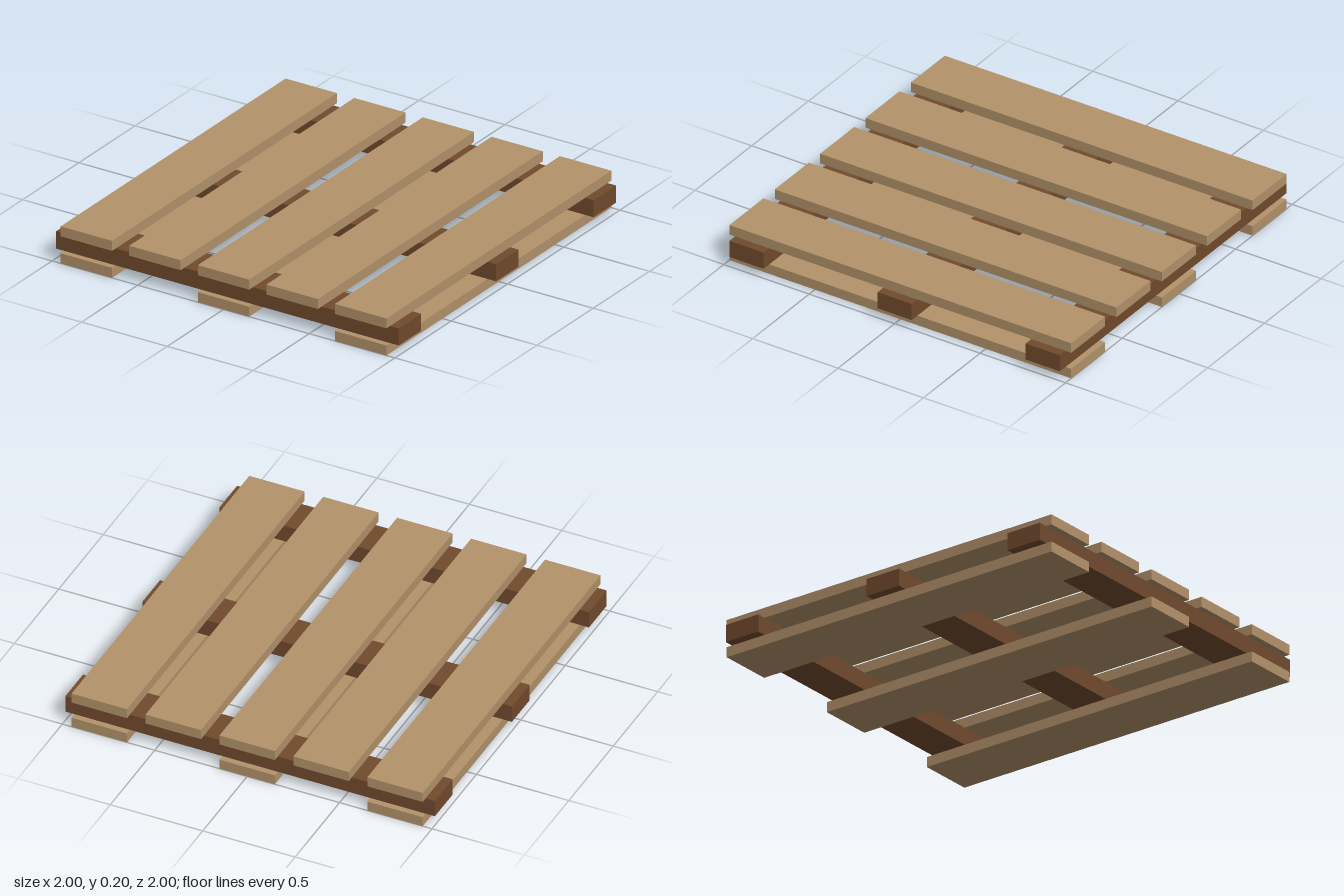
import * as THREE from 'three';

export function createModel() {
  const group = new THREE.Group();
  const paleWood = new THREE.MeshStandardMaterial({ color: 0xb3926a });
  paleWood.name = 'paleWood';
  const darkWood = new THREE.MeshStandardMaterial({ color: 0x714a2d });
  darkWood.name = 'darkWood';

  const boardGeometry = new THREE.BoxGeometry(0.3, 0.054, 2);
  const beamGeometry = new THREE.BoxGeometry(2, 0.092, 0.2);

  function add(name, geometry, material, x, y, z) {
    const mesh = new THREE.Mesh(geometry, material);
    mesh.name = name;
    mesh.position.set(x, y, z);
    group.add(mesh);
  }

  // Five deck boards on top
  for (let i = -2; i <= 2; i++) {
    add(`deckBoard${i + 3}`, boardGeometry, paleWood, i * 0.4, 0.173, 0);
  }
  // Three cross beams and three bottom boards
  for (let i = -1; i <= 1; i++) {
    add(`crossBeam${i + 2}`, beamGeometry, darkWood, 0, 0.1, i * 0.867);
    add(`bottomBoard${i + 2}`, boardGeometry, paleWood, i * 0.8, 0.027, 0);
  }
  return group;
}
